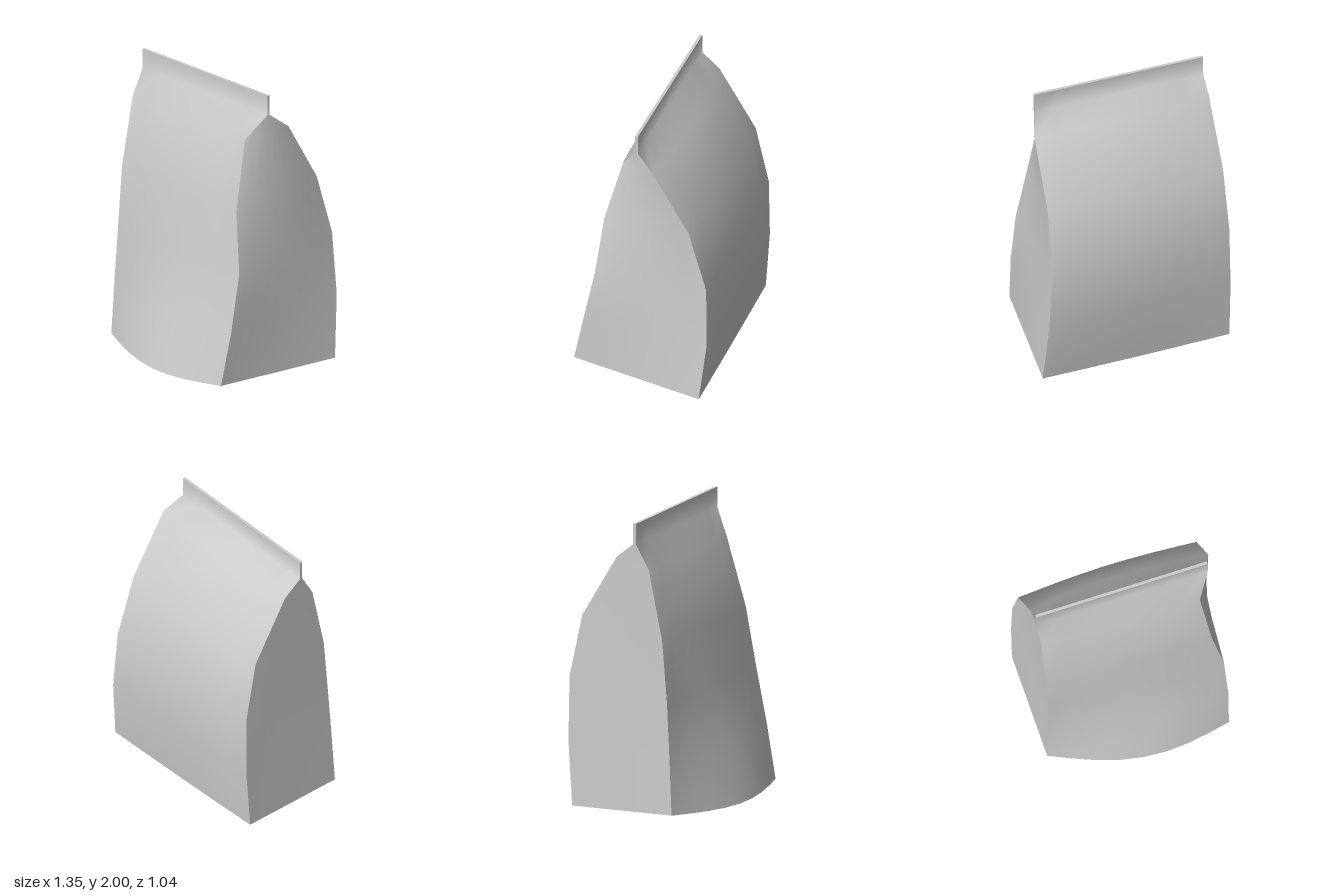
import * as THREE from 'three';

// Four corner edges of the bag, from the base to the top of the seal
const frontLeft = [[-0.68, 0.025, 0.31], [-0.67, 0.4, 0.29], [-0.66, 0.8, 0.265], [-0.66, 1.21, 0.23], [-0.66, 1.69, 0.13], [-0.665, 1.86, 0.035], [-0.665, 2, 0.035]];
const frontRight = [[0.55, 0.035, 0.47], [0.57, 0.4, 0.395], [0.565, 0.8, 0.315], [0.495, 1.21, 0.275], [0.45, 1.69, 0.155], [0.545, 1.86, 0.035], [0.545, 2, 0.035]];
const backRight = [[0.672, 0.02, -0.47], [0.642, 0.46, -0.515], [0.612, 0.9, -0.5], [0.6, 1.33, -0.37], [0.597, 1.76, -0.11], [0.545, 1.86, 0.015], [0.545, 2, 0.015]];
const backLeft = [[-0.68, 0.015, -0.435], [-0.677, 0.46, -0.465], [-0.67, 0.9, -0.46], [-0.66, 1.33, -0.37], [-0.66, 1.76, -0.11], [-0.665, 1.86, 0.015], [-0.665, 2, 0.015]];

// Smooth sheet spanned between two edges; each row swells by its own [x, y, z]
function panel(name, edgeA, edgeB, swell = [], columns = 8) {
  const positions = [], index = [];
  edgeA.forEach((a, i) => {
    const s = swell[i] || [0, 0, 0];
    for (let j = 0; j <= columns; j++) {
      const t = j / columns, k = Math.sin(Math.PI * t);
      for (let c = 0; c < 3; c++) positions.push(a[c] + (edgeB[i][c] - a[c]) * t + s[c] * k);
      if (i && j) {
        const q = i * (columns + 1) + j, p = q - columns - 1;
        index.push(p - 1, p, q, p - 1, q, q - 1);
      }
    }
  });
  const geometry = new THREE.BufferGeometry();
  geometry.setAttribute('position', new THREE.Float32BufferAttribute(positions, 3));
  geometry.setIndex(index);
  geometry.computeVertexNormals();
  const mesh = new THREE.Mesh(geometry, new THREE.MeshStandardMaterial({ color: 0xcccccc, side: THREE.DoubleSide }));
  mesh.name = name;
  return mesh;
}

export function createModel() {
  const bag = new THREE.Group();
  bag.name = 'paperBag';
  const top = frontLeft.length - 1;
  const frontSwell = [[0, -0.03, 0.125], [0, 0, 0.075], [0, 0, 0.03], [0, 0, 0.025], [0, 0, 0.02]];
  const backSwell = [[0, -0.005, 0], [0, 0, -0.015], [0, 0, -0.025], [0, 0, -0.03], [0, 0, -0.05]];
  const rightSwell = [[0, 0, 0], [0, 0, 0], [0, 0, 0], [0.01, 0, 0], [0.015, 0, 0]];

  // Walls, whose upper rows pinch together into the flat seal
  bag.add(
    panel('frontWall', frontLeft, frontRight, frontSwell),
    panel('rightWall', frontRight, backRight, rightSwell),
    panel('backWall', backRight, backLeft, backSwell),
    panel('leftWall', backLeft, frontLeft)
  );

  // Base and the narrow top edge of the seal
  bag.add(
    panel('base', [backLeft[0], frontLeft[0]], [backRight[0], frontRight[0]], [backSwell[0], frontSwell[0]]),
    panel('sealTop', [frontLeft[top], backLeft[top]], [frontRight[top], backRight[top]])
  );
  return bag;
}
